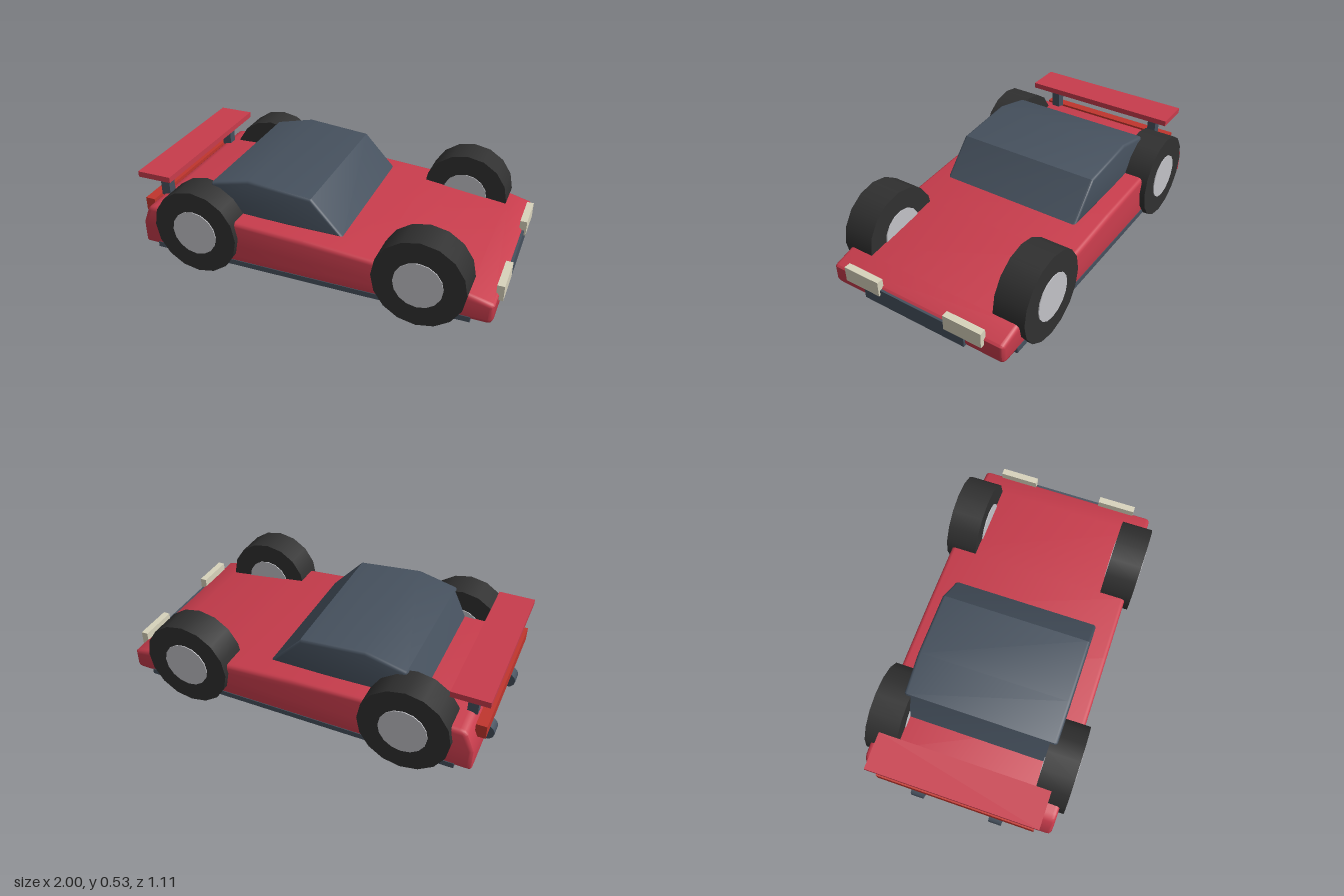
import * as THREE from 'three';
import { toCreasedNormals } from 'three/addons/utils/BufferGeometryUtils.js';

const paint = (name, color) => {
  const m = new THREE.MeshStandardMaterial({ color });
  m.name = name;
  return m;
};

export function createModel() {
  const car = new THREE.Group();
  car.name = 'sportsCar';

  const red = paint('bodyRed', 0xc83c4c);
  const slate = paint('slate', 0x46515e);
  const rubber = paint('tyreBlack', 0x303030);
  const silver = paint('hubSilver', 0xc2c2c7);
  const cream = paint('headlightCream', 0xd8d3bc);
  const tail = paint('tailLightRed', 0xc0352d);

  const add = (name, geometry, material, x = 0, y = 0, z = 0) => {
    const mesh = new THREE.Mesh(geometry, material);
    mesh.name = name;
    mesh.position.set(x, y, z);
    car.add(mesh);
    return mesh;
  };

  // Box given by its limits on each axis
  const box = (name, material, [x0, x1], [y0, y1], [z0, z1]) =>
    add(name, new THREE.BoxGeometry(x1 - x0, y1 - y0, z1 - z0), material,
      (x0 + x1) / 2, (y0 + y1) / 2, (z0 + z1) / 2);

  // Side profile extruded across the car, with rounded flanks
  const slab = (name, material, profile, halfWidth, bevel) => {
    const shape = new THREE.Shape(profile.map(([x, y]) => new THREE.Vector2(x, y)));
    const geometry = new THREE.ExtrudeGeometry(shape, {
      depth: 2 * (halfWidth - bevel), bevelEnabled: true, bevelSegments: 3,
      bevelSize: bevel, bevelThickness: bevel, bevelOffset: -bevel,
    });
    geometry.translate(0, 0, bevel - halfWidth);
    return add(name, toCreasedNormals(geometry, 0.6), material);
  };

  // Wedge body and glass cabin
  slab('body', red, [
    [-0.945, 0.085], [0.95, 0.085], [0.968, 0.092], [0.977, 0.11], [0.977, 0.19],
    [0.968, 0.2], [0.85, 0.23], [0.38, 0.29], [0, 0.318], [-0.4, 0.333],
    [-0.875, 0.322], [-0.9, 0.317], [-0.917, 0.303], [-0.955, 0.21], [-0.955, 0.095],
  ], 0.52, 0.022);
  slab('cabin', slate, [
    [-0.645, 0.318], [0.17, 0.318], [0, 0.502], [-0.35, 0.534], [-0.565, 0.482],
  ], 0.413, 0.016);

  // Rear wing, tail light and front bumper
  box('rearWing', red, [-0.99, -0.795], [0.453, 0.485], [-0.456, 0.456]);
  box('tailLight', tail, [-0.985, -0.93], [0.235, 0.31], [-0.43, 0.43]);
  box('frontBumper', slate, [0.95, 0.99], [0.095, 0.19], [-0.305, 0.305]);

  // Parts repeated on both sides
  for (const s of [1, -1]) {
    const span = (a, b) => (s > 0 ? [a, b] : [-b, -a]);
    box('wingSupport', slate, [-0.92, -0.867], [0.31, 0.455], span(0.315, 0.365));
    box('headlight', cream, [0.963, 1], [0.16, 0.245], span(0.198, 0.414));
    box('sideSkirt', slate, [-0.87, 0.87], [0.074, 0.104], span(0.492, 0.523));

    const exhaust = new THREE.CylinderGeometry(0.045, 0.045, 0.07, 12).rotateX(Math.PI / 2);
    add('exhaust', exhaust, slate, -0.955, 0.115, s * 0.22);

    for (const x of [-0.61, 0.612]) {
      const tyre = new THREE.CylinderGeometry(0.24, 0.24, 0.175, 16).rotateX(Math.PI / 2);
      const hub = new THREE.CylinderGeometry(0.127, 0.127, 0.185, 16).rotateX(Math.PI / 2);
      add('tyre', tyre, rubber, x, 0.24, s * 0.4625);
      add('wheelHub', hub, silver, x, 0.24, s * 0.4625);
    }
  }
  return car;
}
